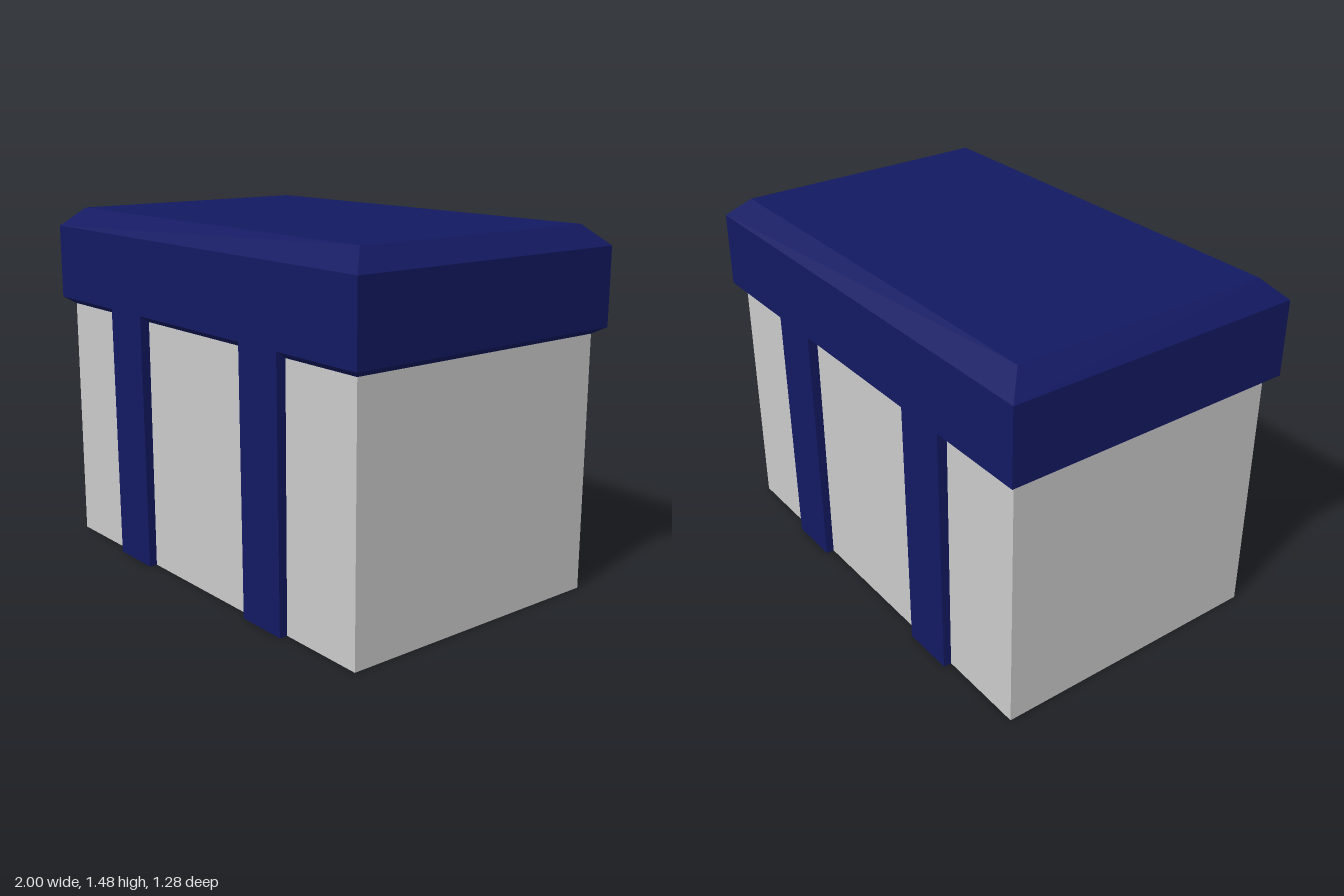
import * as THREE from 'three';

// Closed solid through stacked rectangles, each [y, x0, x1, z0, z1], listed from bottom to top
function loft(rings) {
  const pos = [];
  const quad = (a, b, c, d) => pos.push(...a, ...b, ...c, ...a, ...c, ...d);
  const loops = rings.map(([y, x0, x1, z0, z1]) => [[x0, y, z1], [x1, y, z1], [x1, y, z0], [x0, y, z0]]);
  for (let i = 0; i < loops.length - 1; i++) {
    const lo = loops[i], hi = loops[i + 1];
    for (let k = 0; k < 4; k++) {
      const n = (k + 1) % 4;
      quad(lo[k], lo[n], hi[n], hi[k]);
    }
  }
  const [a, b, c, d] = loops[0];
  quad(d, c, b, a);
  quad(...loops[loops.length - 1]);
  const geometry = new THREE.BufferGeometry();
  geometry.setAttribute('position', new THREE.Float32BufferAttribute(pos, 3));
  geometry.computeVertexNormals();
  return geometry;
}

export function createModel() {
  const model = new THREE.Group();
  const grey = new THREE.MeshStandardMaterial({ color: 0xcccccc, flatShading: true });
  const navy = new THREE.MeshStandardMaterial({ color: 0x131962, flatShading: true });

  const add = (name, geometry, material) => {
    const mesh = new THREE.Mesh(geometry, material);
    mesh.name = name;
    model.add(mesh);
    return mesh;
  };

  // Plain box body
  add('body', new THREE.BoxGeometry(1.91, 1.055, 1.2), grey).position.y = 0.5275;

  // Overhanging lid: sloped underside, straight sides, bevelled top
  const lidRing = (y, x, z) => [y, -x, x, -z, z];
  add('lid', loft([
    lidRing(1.055, 0.955, 0.6),
    lidRing(1.083, 1, 0.641),
    lidRing(1.398, 1, 0.641),
    lidRing(1.479, 0.913, 0.557),
  ]), navy);

  // Two straps on the front and two on the back, slightly thinner towards the ground
  const strap = loft([
    [0, -0.114, 0.114, 0.595, 0.634],
    [1.083, -0.114, 0.114, 0.595, 0.641],
  ]);
  for (const [face, turn] of [['front', 0], ['back', Math.PI]]) {
    for (const [side, x] of [['Left', 0.456], ['Right', -0.456]]) {
      const mesh = add(face + side + 'Strap', strap, navy);
      mesh.position.x = x;
      mesh.rotation.y = turn;
    }
  }
  return model;
}
